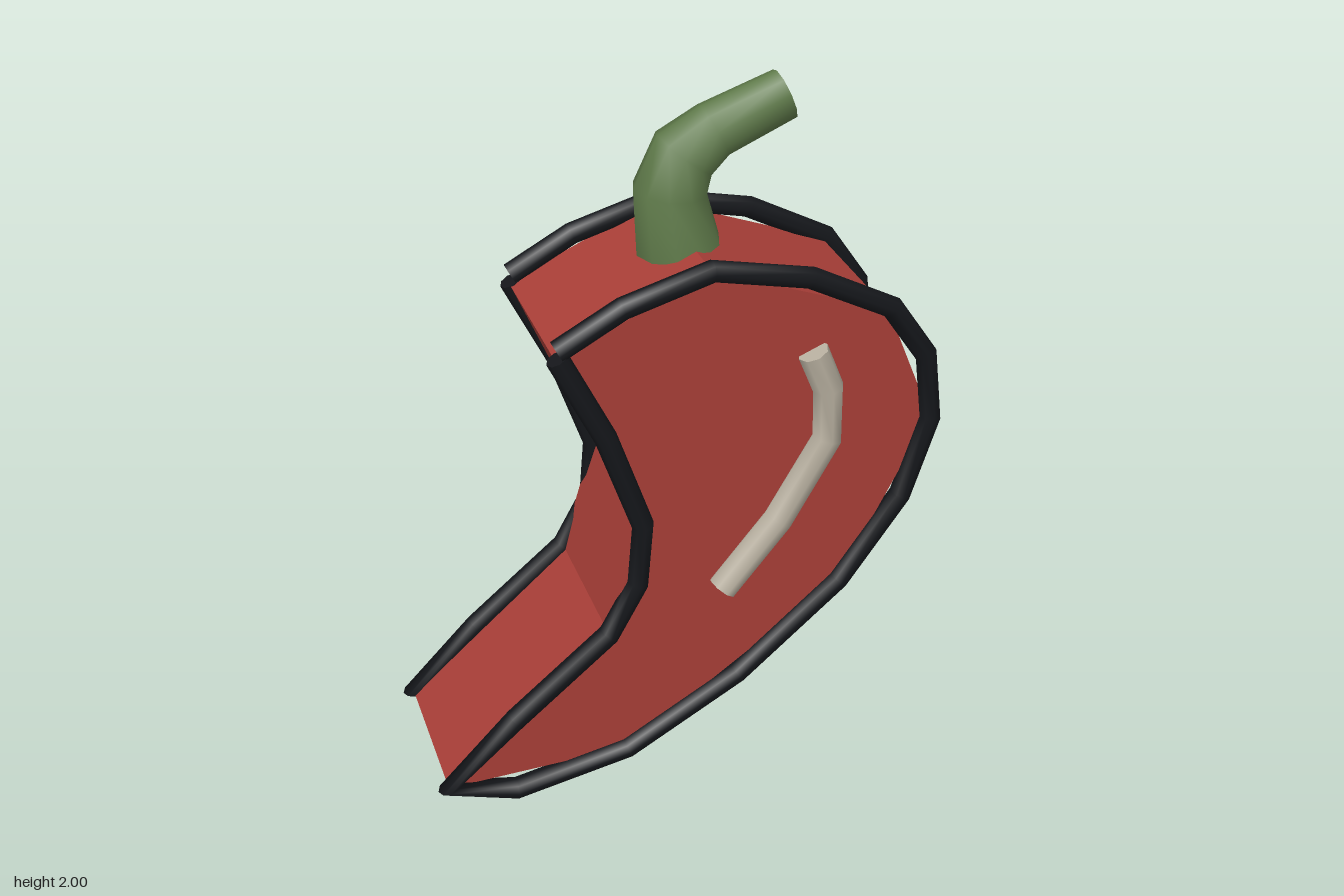
import * as THREE from 'three';

const FRONT = 0.225, BACK = -0.245, MID = -0.01;

const paint = (color) => new THREE.MeshStandardMaterial({ color });

function addPart(group, name, geometry, material) {
  const mesh = new THREE.Mesh(geometry, material);
  mesh.name = name;
  group.add(mesh);
  return mesh;
}

// Round tube with capped ends along a flat path of [x, y, radius] points at depth z
function sweep(path, z, sides = 8) {
  const pts = path.map(([x, y]) => new THREE.Vector2(x, y));
  const n = pts.length, pos = [], index = [];
  const dir = (i) => pts[i + 1].clone().sub(pts[i]).normalize();
  const ring = (i) => {
    const t = dir(Math.max(i - 1, 0)).add(dir(Math.min(i, n - 2))).normalize();
    const start = pos.length / 3, r = path[i][2];
    for (let j = 0; j < sides; j++) {
      const a = (j / sides) * Math.PI * 2, c = r * Math.cos(a);
      pos.push(pts[i].x - t.y * c, pts[i].y + t.x * c, z + r * Math.sin(a));
    }
    return start;
  };
  for (let i = 0; i < n; i++) ring(i);
  for (let i = 0; i < n - 1; i++) {
    for (let j = 0; j < sides; j++) {
      const a = i * sides + j, b = i * sides + (j + 1) % sides;
      index.push(a, b, a + sides, b, b + sides, a + sides);
    }
  }
  // Separate rings for the caps keep their edges sharp
  for (const end of [0, n - 1]) {
    const s = ring(end);
    for (let j = 1; j < sides - 1; j++) {
      if (end === 0) index.push(s, s + j + 1, s + j);
      else index.push(s, s + j, s + j + 1);
    }
  }
  const g = new THREE.BufferGeometry();
  g.setAttribute('position', new THREE.Float32BufferAttribute(pos, 3));
  g.setIndex(index);
  g.computeVertexNormals();
  return g;
}

const withRadius = (points, r) => points.map(([x, y]) => [x, y, r]);

export function createModel() {
  const group = new THREE.Group();
  group.name = 'chilliPepper';

  // Body: coarse curved slab
  const profile = [
    [-0.36, 1.39], [-0.13, 0.85], [-0.23, 0.51], [-0.705, 0.085], [-0.18, 0.1],
    [0.45, 0.55], [0.7, 1.04], [0.555, 1.39], [0.06, 1.575],
  ];
  const shape = new THREE.Shape(profile.map(([x, y]) => new THREE.Vector2(x, y)));
  const body = new THREE.ExtrudeGeometry(shape, { depth: FRONT - BACK, bevelEnabled: false });
  body.translate(0, 0, BACK);
  addPart(group, 'body', body, paint(0xa83e37));

  // Dark rims, finer than the body, around both faces
  const rim = withRadius([
    [-0.355, 1.415], [-0.18, 1.51], [0.06, 1.578], [0.33, 1.518], [0.565, 1.395],
    [0.675, 1.235], [0.7, 1.04], [0.625, 0.8], [0.45, 0.55], [0.15, 0.29],
    [-0.18, 0.1], [-0.51, 0.035], [-0.705, 0.088], [-0.505, 0.28], [-0.23, 0.51],
    [-0.145, 0.665], [-0.13, 0.85], [-0.23, 1.14], [-0.355, 1.395],
  ], 0.031);
  const dark = paint(0x15171b);
  addPart(group, 'frontRim', sweep(rim, FRONT), dark);
  addPart(group, 'backRim', sweep(rim, BACK), dark);

  // Bent, tapering stem
  const stem = [
    [0.045, 1.55, 0.115], [0.022, 1.71, 0.1], [0.06, 1.805, 0.092],
    [0.14, 1.86, 0.077], [0.335, 1.935, 0.069],
  ];
  addPart(group, 'stem', sweep(stem, MID, 10), paint(0x5f7a4a));

  // Pale glint set into the front face
  const glint = withRadius([
    [0.34, 1.305], [0.387, 1.19], [0.39, 1.035], [0.255, 0.8], [0.095, 0.605],
  ], 0.043);
  addPart(group, 'glint', sweep(glint, 0.236), paint(0xb8b0a0));

  return group;
}
